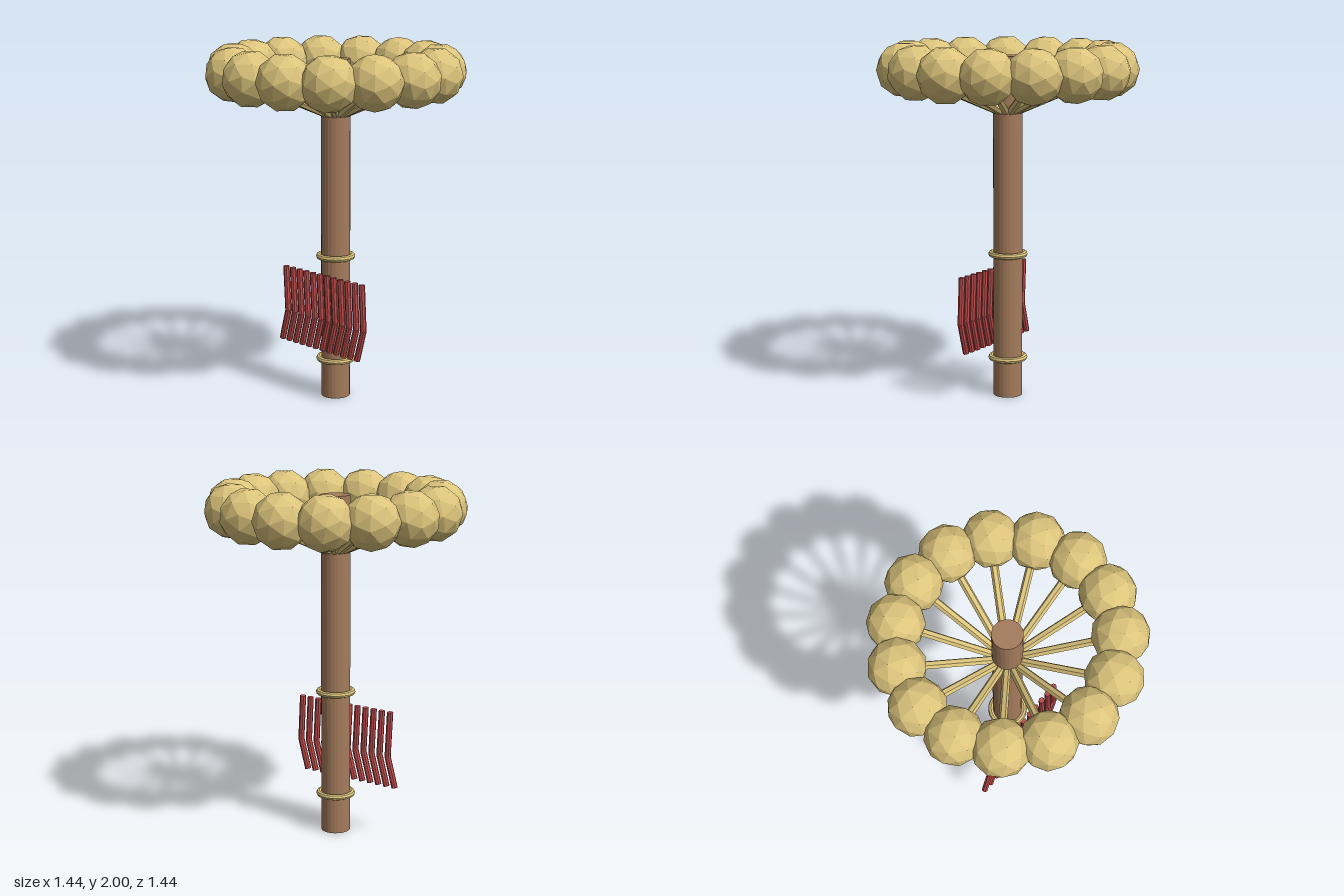
import * as THREE from 'three';

const CX = -0.01; // trunk axis
const COUNT = 15, RING = 0.572, BALL_Y = 1.858;

const mat = (color) => new THREE.MeshStandardMaterial({ color, flatShading: true });

export function createModel() {
  const model = new THREE.Group();
  const wood = mat(0xa57c5c), straw = mat(0xdcc47c), red = mat(0xc04c4c);

  const add = (name, geometry, material, parent = model) => {
    const mesh = new THREE.Mesh(geometry, material);
    mesh.name = name;
    parent.add(mesh);
    return mesh;
  };

  // Straight rod between two points
  const rod = (name, a, b, radius, sides, material, parent) => {
    const dir = b.clone().sub(a);
    const mesh = add(name, new THREE.CylinderGeometry(radius, radius, dir.length(), sides), material, parent);
    mesh.position.copy(a).add(b).multiplyScalar(0.5);
    mesh.quaternion.setFromUnitVectors(new THREE.Vector3(0, 1, 0), dir.normalize());
    return mesh;
  };

  // Trunk
  add('trunk', new THREE.CylinderGeometry(0.082, 0.082, 1.93, 24), wood).position.set(CX, 0.965, 0);

  // Two bands around the trunk
  for (const y of [0.22, 0.82]) {
    const band = add('trunkBand', new THREE.TorusGeometry(0.094, 0.017, 8, 24), straw);
    band.rotation.x = Math.PI / 2;
    band.position.set(CX, y, 0);
  }

  // Crown: spokes rising to a ring of faceted balls, each with a flat facet on top
  const ballGeometry = new THREE.IcosahedronGeometry(0.153, 1);
  ballGeometry.applyQuaternion(new THREE.Quaternion().setFromUnitVectors(
    new THREE.Vector3(1, 1, 1).normalize(), new THREE.Vector3(0, 1, 0)));
  for (let i = 0; i < COUNT; i++) {
    const arm = new THREE.Group();
    arm.name = 'crownArm';
    arm.position.x = CX;
    arm.rotation.y = (i / COUNT) * Math.PI * 2;
    rod('spoke', new THREE.Vector3(0, 1.6, 0), new THREE.Vector3(RING, 1.845, 0), 0.022, 6, straw, arm);
    add('crownBall', ballGeometry, straw, arm).position.set(RING, BALL_Y, 0);
    model.add(arm);
  }

  // Row of bent rods across the front of the trunk
  const row = new THREE.Group();
  row.name = 'bentRods';
  for (let i = 0; i < 12; i++) {
    const x = CX + (i - 5.5) * 0.055, z = 0.099;
    const knee = new THREE.Vector3(x + 0.014, 0.462, z);
    rod('upperRod', knee, new THREE.Vector3(x, 0.724, z), 0.018, 8, red, row);
    rod('lowerRod', new THREE.Vector3(x - 0.035, 0.285, z), knee, 0.018, 8, red, row);
  }
  model.add(row);

  return model;
}
